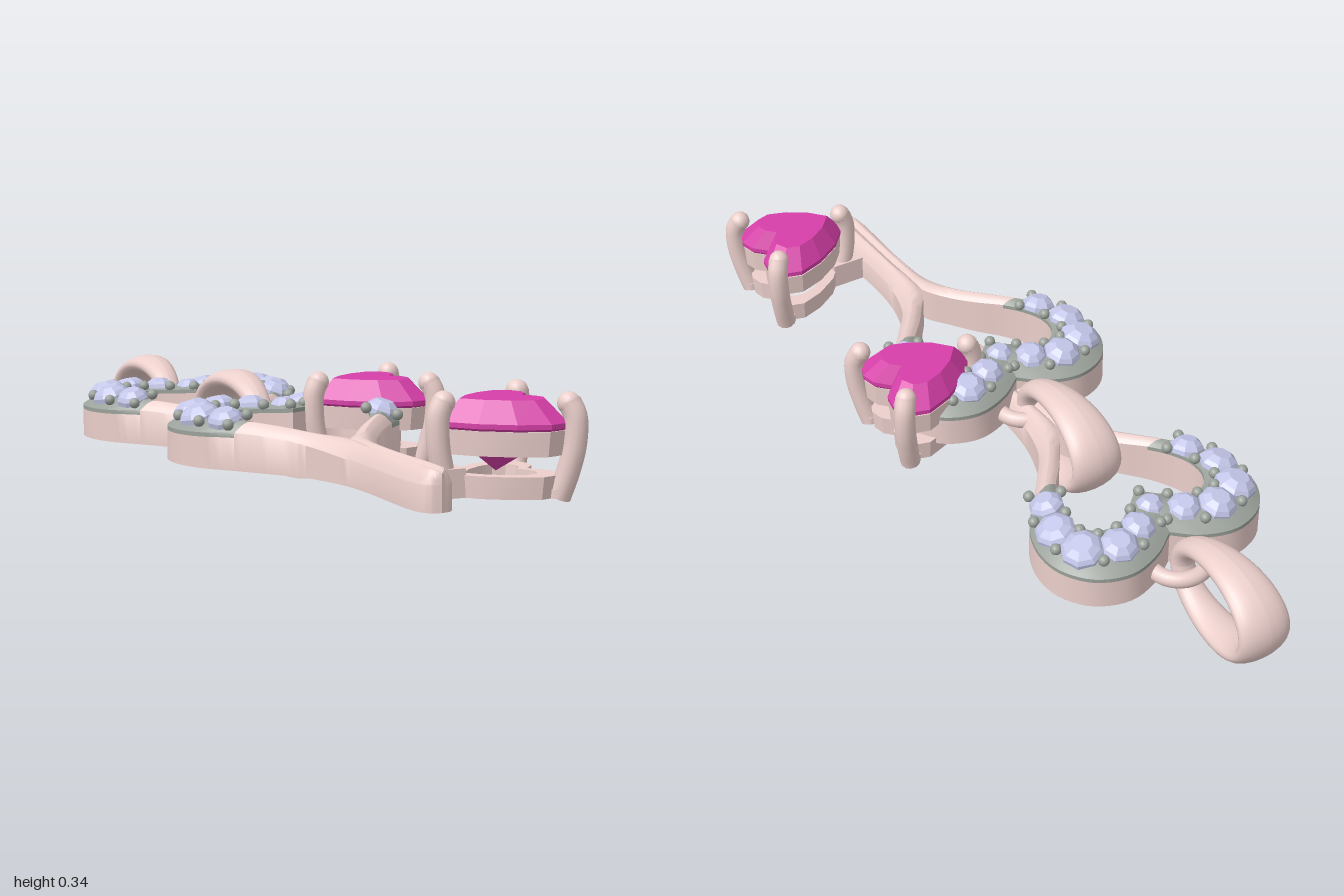
import * as THREE from 'three';
import { toCreasedNormals } from 'three/addons/utils/BufferGeometryUtils.js';

const V = (x, y, z) => new THREE.Vector3(x, y, z);
const mat = (color, flatShading = false) => new THREE.MeshStandardMaterial({ color, flatShading });
const metal = mat(0xebcfcb);
const plateGrey = mat(0x9ba19b);
const paleStone = mat(0xc3c6e8, true);
const pinkGem = mat(0xd63fa8, true);
const AXIS = -0.04; // x of the key's centre line
const BASE = 0.08; // underside of the key

function add(parent, name, geometry, material) {
  const mesh = new THREE.Mesh(geometry, material);
  mesh.name = name;
  parent.add(mesh);
  return mesh;
}

// Skin between rows of points
function skin(rows, crease = 0.6) {
  const pos = [];
  for (let i = 0; i < rows.length - 1; i++) {
    for (let j = 0; j < rows[i].length - 1; j++) {
      const a = rows[i][j], b = rows[i][j + 1], c = rows[i + 1][j + 1], d = rows[i + 1][j];
      for (const p of [a, b, c, a, c, d]) pos.push(p.x, p.y, p.z);
    }
  }
  const g = new THREE.BufferGeometry();
  g.setAttribute('position', new THREE.Float32BufferAttribute(pos, 3));
  g.computeVertexNormals();
  return toCreasedNormals(g, crease);
}

// Half of the key in plan: distance from axis, shoulder height, z
const outer = new THREE.CatmullRomCurve3([
  [0, .172, -.605], [.06, .165, -.645], [.15, .163, -.67], [.235, .163, -.64], [.285, .163, -.57],
  [.292, .163, -.49], [.265, .165, -.41], [.205, .168, -.335], [.15, .165, -.265], [.09, .155, -.18],
  [.055, .143, -.08], [.042, .138, .02], [.042, .138, .28], [.028, .138, .313], [0, .138, .325],
].map((p) => V(...p)));
const inner = new THREE.CatmullRomCurve3([
  [0, .2, -.462], [.05, .196, -.505], [.105, .193, -.538], [.155, .19, -.525], [.183, .19, -.485],
  [.185, .19, -.43], [.165, .187, -.375], [.135, .182, -.325], [.09, .175, -.27], [.045, .168, -.205],
  [0, .17, -.13], [0, .166, .02], [0, .165, .28], [0, .163, .3], [0, .15, .324],
].map((p) => V(...p)));

// Band between the two curves, from control row a to row b
function band(a, b, side, lift, thickness) {
  const rows = [], n = (b - a) * 5;
  for (let i = 0; i <= n; i++) {
    const t = (a + (b - a) * i / n) / 14;
    const o = outer.getPoint(t), k = inner.getPoint(t);
    const low = (p) => (thickness ? p.y - thickness : BASE);
    const at = (s, y) => V(AXIS + side * Math.max(0, o.x + (k.x - o.x) * s), y, o.z + (k.z - o.z) * s);
    const row = [at(0, low(o))];
    for (let j = 0; j <= 8; j++) {
      const s = (1 - Math.cos(Math.PI * j / 8)) / 2;
      row.push(at(s, o.y + (k.y - o.y) * s + 0.02 * Math.sin(Math.PI * s) + lift));
    }
    row.push(at(1, low(k)), row[0].clone());
    rows.push(row);
  }
  return skin(side > 0 ? rows : rows.reverse());
}

// Heart outline of the large gem, point towards the shaft
const half = [[-.135, 0], [-.08, .065], [-.01, .112], [.06, .137], [.11, .122], [.13, .075], [.122, .035], [.09, 0]];
const heart = [...half, ...half.slice(0, -1).reverse().map(([x, z]) => [x, -z])];
const loft = (profile) => skin(profile.map(([s, y]) => heart.map(([x, z]) => V(x * s, y, z * s))), 0.5);

function bail() {
  // Hanging loop, broad at the far end and slim at the ring
  const g = new THREE.TorusGeometry(1, 0.2, 20, 56);
  const uv = g.attributes.uv, pos = g.attributes.position;
  for (let i = 0; i < pos.count; i++) {
    const a = uv.getX(i) * Math.PI * 2, v = uv.getY(i) * Math.PI * 2;
    const wide = (1 - Math.cos(a)) / 2;
    const r = 0.027 * Math.cos(v);
    pos.setXYZ(i,
      AXIS + (0.03 + 0.04 * wide) * Math.sin(v),
      0.13 + (0.104 + r) * Math.sin(a) * (0.92 + 0.08 * wide),
      -0.815 + (0.155 + r) * Math.cos(a));
  }
  // the section runs the other way round here, so turn the faces
  const idx = g.index.array;
  const A = V(), B = V(), C = V();
  [A, B, C].forEach((p, k) => p.fromBufferAttribute(pos, idx[k]));
  const n = B.clone().sub(A).cross(C.clone().sub(A));
  if (n.dot(A.clone().sub(V(AXIS, 0.13, -0.66))) < 0) {
    for (let i = 0; i < idx.length; i += 3) [idx[i], idx[i + 1]] = [idx[i + 1], idx[i]];
  }
  g.computeVertexNormals();
  return g;
}

function setting() {
  const g = new THREE.Group();
  g.name = 'gemSetting';
  g.position.set(0.18, 0, 0.155);
  add(g, 'heartGem', loft([[0, .13], [1, .235], [1, .246], [.68, .295], [0, .295]]), pinkGem);
  for (const [name, y0, y1, s] of [['upperRail', .175, .23, .95], ['lowerRail', BASE, .13, .85]]) {
    add(g, name, loft([[s - .3, y0], [s, y0], [s + .03, y1], [s - .27, y1], [s - .3, y0]]), metal);
  }
  // Three claws: one at the point, one on each lobe
  for (const [x, z] of [[-.135, 0], [.118, .118], [.118, -.118]]) {
    const path = [[.86, BASE], [.98, .14], [1.06, .2], [1.06, .26], [.97, .292]]
      .map(([s, y]) => V(x * s, y, z * s));
    add(g, 'claw', new THREE.TubeGeometry(new THREE.CatmullRomCurve3(path), 20, .026, 12), metal);
    add(g, 'clawTip', new THREE.SphereGeometry(.026, 14, 10), metal).position.copy(path[4]).setY(.288);
    const foot = add(g, 'clawFoot', new THREE.CylinderGeometry(.026, .026, .02, 12), metal);
    foot.position.copy(path[0]).setY(BASE + .01);
  }
  add(g, 'connector', new THREE.BoxGeometry(.1, .065, .06), metal).position.set(-.14, BASE + .0325, 0);
  return g;
}

// Small stones of half the heart: distance from axis, z, radius
const stones = [[0, -.525, .036], [.065, -.572, .042], [.142, -.602, .048], [.222, -.567, .052], [.238, -.478, .05], [.206, -.39, .043]];

function pave(side) {
  const g = new THREE.Group();
  g.name = 'stoneRow';
  const tilt = (u, z) => V(side * (u - .1), 0, z + .47).normalize().multiplyScalar(u ? .3 : .1).setY(1).normalize();
  stones.forEach(([u, z, r], i) => {
    if (i === 0 && side < 0) return;
    const s = add(g, 'smallStone', new THREE.LatheGeometry(
      [[r, -.012], [r, 0], [r * .85, .01], [r * .5, .022], [0, .022]].map((p) => new THREE.Vector2(...p)), 8), paleStone);
    s.position.set(AXIS + side * u, .198, z);
    s.quaternion.setFromUnitVectors(V(0, 1, 0), tilt(u, z));
  });
  // Holding beads either side of each joint
  const bead = (u, y, z) => add(g, 'bead', new THREE.SphereGeometry(.014, 10, 8), plateGrey).position.set(AXIS + side * u, y, z);
  for (let i = 0; i < stones.length; i++) {
    const [u0, z0] = stones[i], [u1, z1] = stones[i + 1] || [.165, -.325];
    const d = new THREE.Vector2(u1 - u0, z1 - z0).normalize();
    for (const [k, y] of [[.04, .19], [-.036, .205]]) {
      bead((u0 + u1) / 2 + d.y * k, y, (z0 + z1) / 2 - d.x * k);
    }
  }
  if (side > 0) bead(0, .208, -.477);
  return g;
}

function pendant(name) {
  const g = new THREE.Group();
  g.name = name;
  for (const side of [1, -1]) {
    add(g, 'heartBand', band(0, 7, side, -.01, 0), metal);
    add(g, 'stonePlate', band(0, 7, side, 0, .01), plateGrey);
    add(g, 'armAndShaft', band(7, 14, side, 0, 0), metal);
    g.add(pave(side));
  }
  add(g, 'bail', bail(), metal);
  const ring = add(g, 'jumpRing', new THREE.TorusGeometry(.068, .02, 14, 40), metal);
  ring.rotation.x = Math.PI / 2;
  ring.position.set(AXIS, .112, -.643);
  g.add(setting());
  return g;
}

export function createModel() {
  const model = new THREE.Group();
  model.name = 'keyPendants';
  const front = pendant('frontPendant');
  front.position.set(0, .033, .667);
  model.add(pendant('backPendant'), front);
  return model;
}
